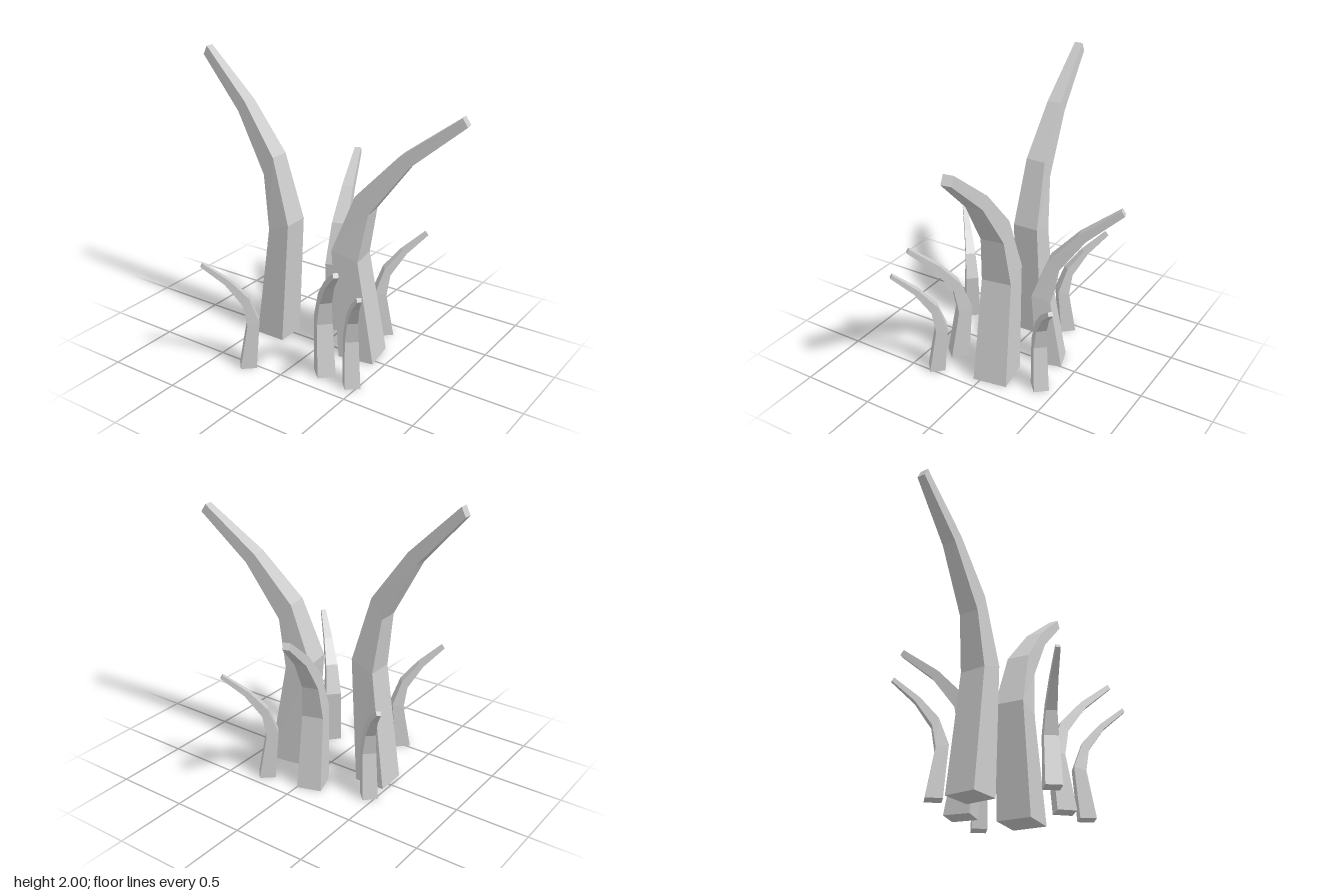
import * as THREE from 'three';

// Shared stalk profile, base to tip: [inner r, inner y, outer r, outer y, half width]
const PROFILE = [
  [0.055, 0, 0.27, 0, 0.105],
  [0, 0.44, 0.16, 0.41, 0.091],
  [0.13, 0.665, 0.21, 0.6, 0.07],
  [0.37, 0.835, 0.43, 0.8, 0.05],
  [0.7, 1, 0.73, 0.97, 0.029],
];

// Curved, tapering four-sided stalk that leans out along +x
function stalkGeometry(reach, height, width) {
  const positions = [];
  const quad = (a, b, c, d) => positions.push(...a, ...b, ...c, ...a, ...c, ...d);
  const rings = PROFILE.map(([ri, yi, ro, yo, w]) => [
    [ri * reach, yi * height, -w * width],
    [ri * reach, yi * height, w * width],
    [ro * reach, yo * height, w * width],
    [ro * reach, yo * height, -w * width],
  ]);
  for (let k = 0; k < rings.length - 1; k++) {
    const lower = rings[k], upper = rings[k + 1];
    for (let i = 0; i < 4; i++) {
      const j = (i + 1) % 4;
      quad(lower[i], lower[j], upper[j], upper[i]);
    }
  }
  // End caps
  quad(...rings[rings.length - 1]);
  quad(...[...rings[0]].reverse());

  const geometry = new THREE.BufferGeometry();
  geometry.setAttribute('position', new THREE.Float32BufferAttribute(positions, 3));
  geometry.computeVertexNormals();
  return geometry;
}

// Inner bend position (x, z), tip position (x, z), height and width factor
const STALKS = [
  { name: 'tallRightStalk', from: [-0.21, 0.027], tip: [-0.925, 0.03], height: 2, width: 1 },
  { name: 'tallLeftStalk', from: [0.1, -0.022], tip: [0.925, -0.155], height: 1.76, width: 1.13 },
  { name: 'backStalk', from: [-0.015, -0.16], tip: [-0.19, -0.71], height: 1.22, width: 0.79 },
  { name: 'frontLeftStalk', from: [0.155, 0.245], tip: [0.455, 0.53], height: 0.88, width: 0.58 },
  { name: 'frontLeftOuterStalk', from: [0.397, 0.275], tip: [0.63, 0.54], height: 0.77, width: 0.49 },
  { name: 'frontRightStalk', from: [-0.195, 0.467], tip: [-0.46, 0.705], height: 0.77, width: 0.49 },
  { name: 'backRightStalk', from: [-0.39, -0.133], tip: [-0.635, -0.39], height: 0.77, width: 0.49 },
  { name: 'backLeftStalk', from: [0.205, -0.325], tip: [0.475, -0.565], height: 0.77, width: 0.49 },
];

export function createModel() {
  const group = new THREE.Group();
  group.name = 'stalkCluster';
  const material = new THREE.MeshStandardMaterial({ color: 0xcccccc, flatShading: true });
  for (const { name, from, tip, height, width } of STALKS) {
    const dx = tip[0] - from[0], dz = tip[1] - from[1];
    const reach = Math.hypot(dx, dz) / 0.715;
    const stalk = new THREE.Mesh(stalkGeometry(reach, height, width), material);
    stalk.name = name;
    stalk.position.set(from[0], 0, from[1]);
    stalk.rotation.y = Math.atan2(-dz, dx);
    group.add(stalk);
  }
  return group;
}
